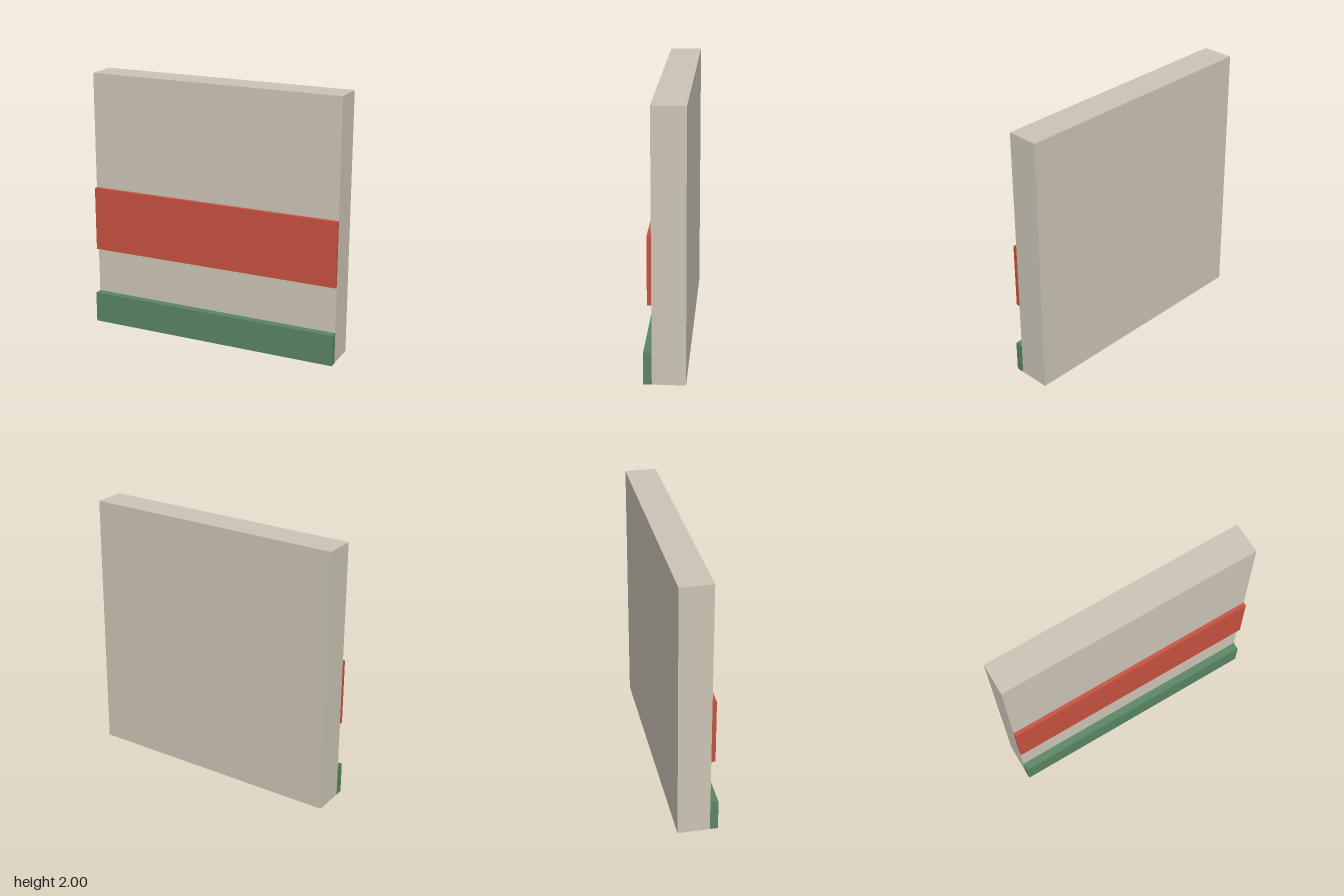
import * as THREE from 'three';

const material = (name, color) => {
  const m = new THREE.MeshStandardMaterial({ color });
  m.name = name;
  return m;
};

// Full-width slab spanning the given heights and depths
function slab(name, mat, y0, y1, z0, z1) {
  const mesh = new THREE.Mesh(new THREE.BoxGeometry(2, y1 - y0, z1 - z0), mat);
  mesh.position.set(0, (y0 + y1) / 2, (z0 + z1) / 2);
  mesh.name = name;
  return mesh;
}

export function createModel() {
  const group = new THREE.Group();
  group.name = 'wallPanel';
  group.add(
    slab('wall', material('warm grey plaster', 0xccc5b6), 0, 2, -0.15, 0.09),
    // Raised band and skirting on the front face
    slab('band', material('brick red', 0xc75140), 0.6, 1.1, 0.09, 0.12),
    slab('skirting', material('muted green', 0x598563), 0, 0.24, 0.09, 0.15)
  );
  return group;
}
